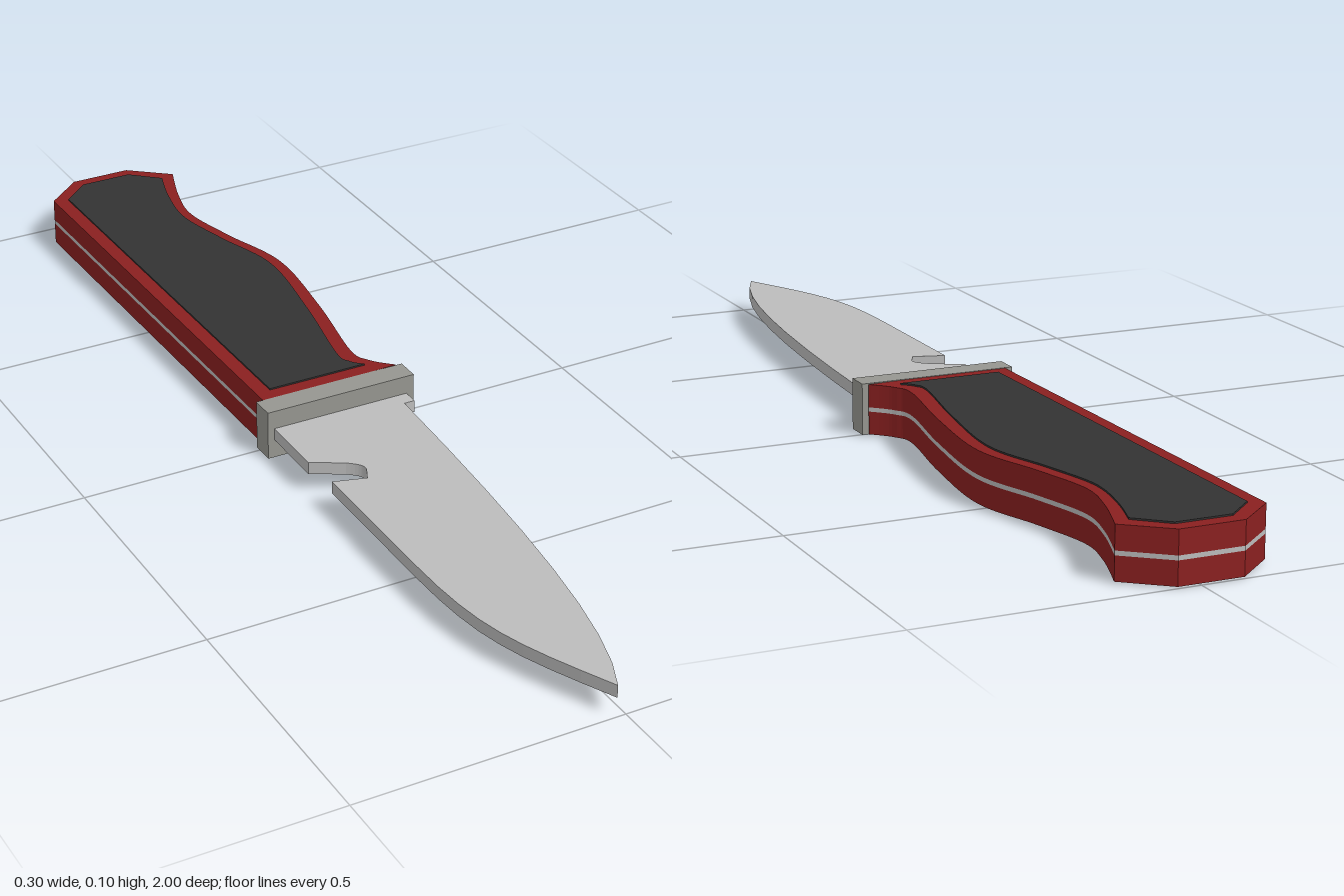
import * as THREE from 'three';

const mat = (name, color) => {
  const m = new THREE.MeshStandardMaterial({ color });
  m.name = name;
  return m;
};

// Shapes are drawn in (x, z); the slab fills y from bottom to top.
function slab(name, shape, bottom, top, material) {
  const g = new THREE.ExtrudeGeometry(shape, { depth: top - bottom, bevelEnabled: false, curveSegments: 8 });
  g.rotateX(Math.PI / 2).translate(0, top, 0);
  const mesh = new THREE.Mesh(g, material);
  mesh.name = name;
  return mesh;
}

const points = (list) => list.map(([x, z]) => new THREE.Vector2(x, z));

// Angular pommel and straight spine, followed by the wavy finger side.
function gripShape(straight, wave) {
  const s = new THREE.Shape(points(straight));
  s.splineThru(points(wave));
  s.closePath();
  return s;
}

function bladeShape() {
  const s = new THREE.Shape();
  s.moveTo(-0.138, 0.0);
  s.lineTo(-0.138, 0.17);
  // hooked notch in the spine
  s.lineTo(-0.08, 0.203);
  s.quadraticCurveTo(-0.05, 0.225, -0.058, 0.24);
  s.lineTo(-0.07, 0.265);
  s.lineTo(-0.131, 0.247);
  // spine running to the tip
  s.lineTo(-0.132, 0.55);
  s.bezierCurveTo(-0.132, 0.76, -0.105, 0.82, -0.018, 1.0);
  // cutting edge back to the small heel
  s.bezierCurveTo(0.055, 0.87, 0.092, 0.55, 0.115, 0.068);
  s.lineTo(0.136, 0.068);
  s.lineTo(0.136, 0.0);
  s.closePath();
  return s;
}

export function createModel() {
  const steel = mat('blade steel', 0xbcbcbc);
  const guardMetal = mat('guard metal', 0x969690);
  const red = mat('red scale', 0x8a2020);
  const black = mat('dark grip', 0x333333);
  const model = new THREE.Group();
  model.name = 'knife';

  const grip = gripShape(
    [[-0.137, 0], [-0.15, -0.937], [-0.077, -1], [0.042, -1], [0.12, -0.937]],
    [[0.088, -0.84], [0.074, -0.75], [0.1, -0.63], [0.14, -0.48], [0.122, -0.28], [0.092, -0.1], [0.105, -0.05], [0.14, -0.012]]
  );
  const inlay = gripShape(
    [[-0.109, -0.037], [-0.122, -0.925], [-0.068, -0.974], [0.035, -0.974], [0.09, -0.925]],
    [[0.066, -0.84], [0.054, -0.74], [0.08, -0.62], [0.117, -0.475], [0.095, -0.28], [0.062, -0.1], [0.068, -0.06], [0.088, -0.037]]
  );

  // Blade with full-length tang showing between the scales
  model.add(slab('blade', bladeShape(), 0.038, 0.062, steel));
  model.add(slab('tang', grip, 0.046, 0.054, steel));

  // Scales and raised grip panels
  model.add(slab('upperScale', grip, 0.054, 0.097, red));
  model.add(slab('lowerScale', grip, 0.003, 0.046, red));
  model.add(slab('upperGripPanel', inlay, 0.092, 0.1, black));
  model.add(slab('lowerGripPanel', inlay, 0, 0.008, black));

  // Cross guard
  const guard = new THREE.Mesh(new THREE.BoxGeometry(0.302, 0.096, 0.046), guardMetal);
  guard.name = 'guard';
  guard.position.set(0, 0.05, 0.0145);
  model.add(guard);

  return model;
}
